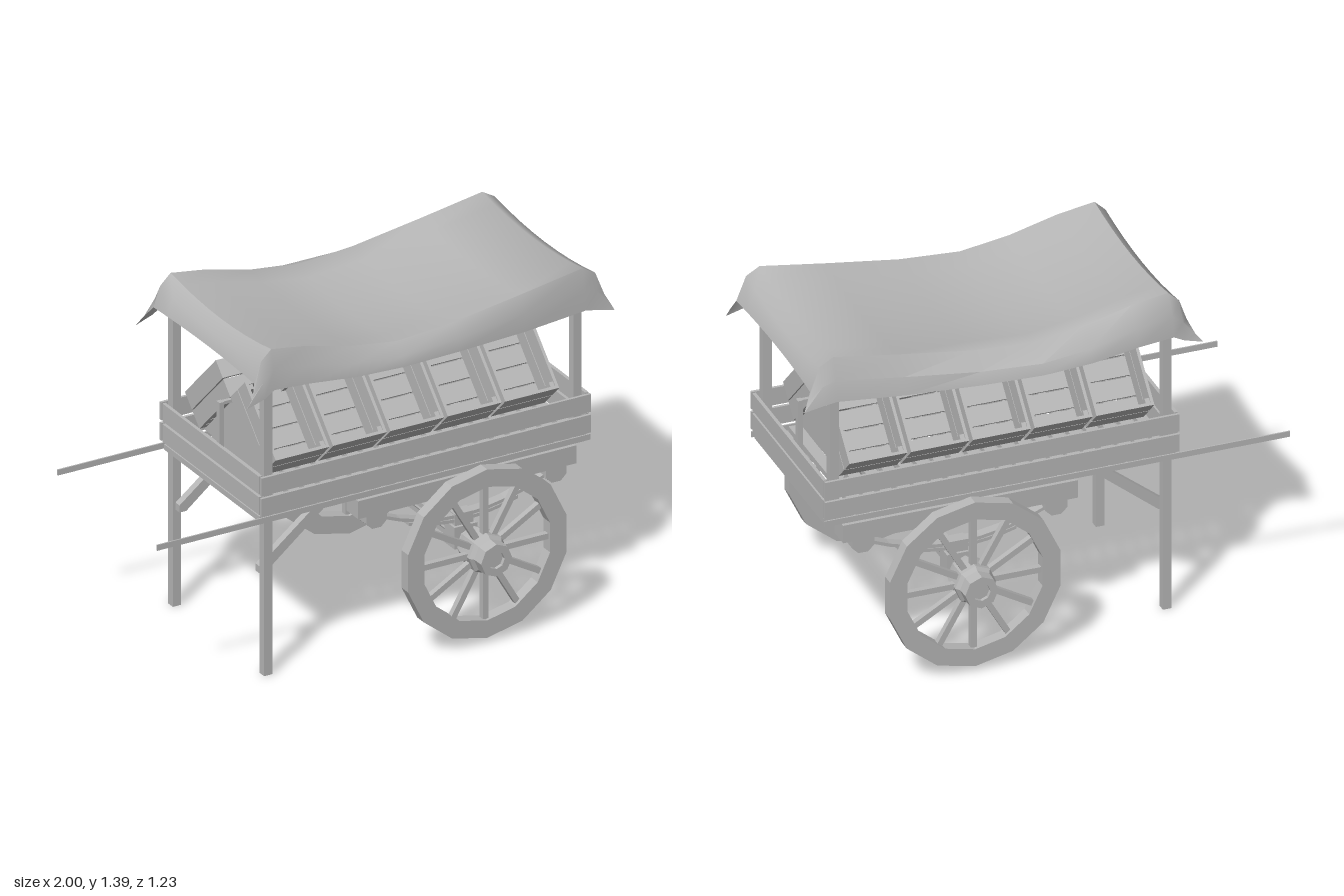
import * as THREE from 'three';
import { toCreasedNormals } from 'three/addons/utils/BufferGeometryUtils.js';

const grey = new THREE.MeshStandardMaterial({ color: 0xb6b6b6, side: THREE.DoubleSide });
grey.name = 'plain grey';

function add(parent, name, geo, x = 0, y = 0, z = 0) {
  const m = new THREE.Mesh(geo, grey);
  m.name = name;
  m.position.set(x, y, z);
  parent.add(m);
  return m;
}

// box given by its min and max on each axis
function box(parent, name, x0, x1, y0, y1, z0, z1) {
  return add(parent, name, new THREE.BoxGeometry(x1 - x0, y1 - y0, z1 - z0),
    (x0 + x1) / 2, (y0 + y1) / 2, (z0 + z1) / 2);
}

// outline in x/y, extruded along z and centred on z = 0
function plate(points, depth) {
  const shape = new THREE.Shape(points.map(p => new THREE.Vector2(p[0], p[1])));
  return new THREE.ExtrudeGeometry(shape, { depth, bevelEnabled: false }).translate(0, 0, -depth / 2);
}

function lathe(points, sides) {
  const g = new THREE.LatheGeometry(points.map(p => new THREE.Vector2(p[0], p[1])), sides);
  return toCreasedNormals(g.rotateX(Math.PI / 2), 0.3);
}

// wheel centred on its hub, outer face towards +z
function makeWheel() {
  const wheel = new THREE.Group();
  wheel.name = 'wheel';
  add(wheel, 'rim', lathe([[0.283, -0.025], [0.357, -0.025], [0.357, 0.025], [0.283, 0.025], [0.283, -0.025]], 14));
  add(wheel, 'hub', lathe([[0, -0.1], [0.055, -0.1], [0.055, -0.075], [0.075, -0.075], [0.083, -0.04],
    [0.083, 0.03], [0.07, 0.045], [0.068, 0.095], [0.036, 0.095], [0.036, 0.08], [0, 0.08]], 8));
  const spokes = 12;
  for (let i = 0; i < spokes; i++) {
    const a = (i / spokes) * Math.PI * 2;
    const s = add(wheel, 'spoke', new THREE.BoxGeometry(0.24, 0.024, 0.024),
      Math.cos(a) * 0.18, Math.sin(a) * 0.18, 0);
    s.rotation.z = a;
  }
  return wheel;
}

// open crate: y is its depth, z its length down the slope
function makeCrate() {
  const crate = new THREE.Group();
  crate.name = 'crate';
  const w = 0.1125, len = 0.33, t = 0.012;
  for (let i = 0; i < 2; i++) {
    const y0 = i * 0.08, y1 = y0 + 0.075;
    box(crate, 'topWall', -w, w, y0, y1, 0, t);
    box(crate, 'bottomWall', -w, w, y0, y1, len - t, len);
    for (const s of [-1, 1]) box(crate, 'sideWall', s * w - t / 2, s * w + t / 2, y0, y1, 0, len);
  }
  for (let i = 0; i < 4; i++) box(crate, 'floorSlat', -w, w, 0.002, t, i * 0.0825 + 0.003, i * 0.0825 + 0.079);
  for (const s of [-1, 1]) for (const z of [0.022, len - 0.022])
    box(crate, 'cornerPost', s * 0.098 - 0.01, s * 0.098 + 0.01, 0, 0.15, z - 0.01, z + 0.01);
  return crate;
}

// cloth built as a grid: columns along x, rows across z
function makeCanopy() {
  // x, top height, hem height, front hem z, back hem z
  const cols = [
    [-0.575, 1.25, 1.175, 0.41, -0.43],
    [-0.545, 1.345, 1.2, 0.41, -0.435],
    [-0.50, 1.388, 1.225, 0.405, -0.44],
    [-0.35, 1.365, 1.22, 0.415, -0.455],
    [-0.15, 1.315, 1.205, 0.43, -0.48],
    [0.05, 1.286, 1.2, 0.437, -0.49],
    [0.30, 1.303, 1.2, 0.428, -0.475],
    [0.60, 1.348, 1.203, 0.412, -0.445],
    [0.87, 1.392, 1.22, 0.40, -0.425],
    [0.925, 1.36, 1.21, 0.40, -0.42],
    [0.965, 1.25, 1.19, 0.40, -0.41],
  ];
  const pos = [], index = [], top = 8, rows = top + 5;
  cols.forEach(([x, y, hem, zf, zb], c) => {
    const end = c === 0 ? -1 : c === cols.length - 1 ? 1 : 0;
    const mid = (y + hem) / 2;
    pos.push(x + end * 0.035 - (end < 0 ? 0.015 : 0), hem, zb);
    pos.push(x + end * 0.02, mid, zb * 0.97);
    for (let i = 0; i <= top; i++) {
      const s = (i / top) * 2 - 1;
      const sag = 0.032 * (1 - s * s);
      pos.push(x - end * 0.012 * (1 - s * s), y - (end ? -0.01 : sag), s * 0.38);
    }
    pos.push(x + end * 0.02, mid, zf * 0.985);
    pos.push(x + end * 0.035 - (end < 0 ? 0.015 : 0), hem, zf);
  });
  for (let c = 0; c < cols.length - 1; c++) for (let r = 0; r < rows - 1; r++) {
    const a = c * rows + r, b = a + rows;
    index.push(a, a + 1, b, b, a + 1, b + 1);
  }
  const g = new THREE.BufferGeometry();
  g.setAttribute('position', new THREE.Float32BufferAttribute(pos, 3));
  g.setIndex(index);
  return toCreasedNormals(g, 0.8);
}

export function createModel() {
  const cart = new THREE.Group();
  cart.name = 'marketCart';

  // bed: cross slats and plank sides
  for (let i = 0; i < 21; i++) {
    const x = -0.54 + i * 0.0695;
    box(cart, 'floorSlat', x, x + 0.048, 0.657, 0.68, -0.36, 0.36);
  }
  for (const [y0, y1] of [[0.69, 0.765], [0.777, 0.852]]) {
    for (const s of [-1, 1]) box(cart, 'sidePlank', -0.545, 0.905, y0, y1, s * 0.379 - 0.006, s * 0.379 + 0.006);
    for (const x of [-0.538, 0.898]) box(cart, 'endPlank', x - 0.007, x + 0.007, y0, y1, -0.365, 0.365);
  }

  const spring = (half, drop, y) => {
    const p = [], n = 8, line = (k, dy) => {
      const u = (k / n) * 2 - 1;
      return [u * half, y + drop * u * u + dy];
    };
    for (let k = 0; k <= n; k++) p.push(line(k, 0));
    for (let k = n; k >= 0; k--) p.push(line(k, 0.014));
    return plate(p, 0.042);
  };

  for (const s of [-1, 1]) {
    const z = s * 0.345;
    // handles, posts and legs
    box(cart, 'handle', -1, 0.905, 0.656, 0.68, s * 0.375 - 0.003, s * 0.375 + 0.003);
    box(cart, 'legPost', -0.521, -0.485, 0, 1.35, z - 0.018, z + 0.018);
    box(cart, 'rearPost', 0.84, 0.876, 0.66, 1.35, z - 0.018, z + 0.018);
    add(cart, 'legBrace', plate([[-0.515, 0.415], [-0.485, 0.415], [-0.19, 0.655], [-0.25, 0.655], [-0.515, 0.445]], 0.03), 0, 0, s * 0.302);
    // undercarriage
    box(cart, 'bolster', -0.125, 0.835, 0.58, 0.656, s * 0.35 - 0.044, s * 0.35 + 0.044);
    for (const x of [-0.04, 0.75])
      add(cart, 'springHanger', plate([[-0.045, 0.58], [-0.045, 0.545], [-0.02, 0.52], [0.02, 0.52], [0.045, 0.545], [0.045, 0.58]], 0.075), x, 0, s * 0.35);
    add(cart, 'longSpring', spring(0.37, 0.085, 0.46), 0.355, 0, z);
    add(cart, 'shortSpring', spring(0.24, 0.036, 0.444), 0.355, 0, z);
    box(cart, 'springClamp', 0.315, 0.395, 0.43, 0.48, z - 0.026, z + 0.026);
    box(cart, 'axleBlock', 0.305, 0.405, 0.34, 0.432, z - 0.038, z + 0.038);
    // wheels
    const wheel = makeWheel();
    wheel.position.set(0.355, 0.38, s * 0.52);
    if (s < 0) wheel.rotation.y = Math.PI;
    cart.add(wheel);
  }
  box(cart, 'axleBeam', 0.328, 0.382, 0.352, 0.408, -0.34, 0.34);
  add(cart, 'axleShaft', lathe([[0, -0.45], [0.03, -0.45], [0.03, 0.45], [0, 0.45]], 8), 0.355, 0.38, 0);

  // two sloping rows of crates, back to back
  for (const turn of [0, Math.PI]) {
    const row = new THREE.Group();
    row.name = 'crateRow';
    row.position.set(0.165, 1.013, 0);
    row.rotation.y = turn;
    for (let i = 0; i < 5; i++) {
      const crate = makeCrate();
      crate.position.x = (i - 2) * 0.2525;
      crate.rotation.x = Math.PI / 4;
      row.add(crate);
    }
    cart.add(row);
  }
  // gables and ridge rail under the crates
  for (let i = 0; i < 5; i++) for (const dx of [-0.1, 0.1]) {
    const gable = add(cart, 'crateGable', plate([[-0.22, 0.78], [0.22, 0.78], [0, 1.0]], 0.012), 0.165 + (i - 2) * 0.2525 + dx, 0, 0);
    gable.rotation.y = Math.PI / 2;
  }
  box(cart, 'ridgeRail', -0.5, 0.858, 0.993, 1.006, -0.008, 0.008);
  for (const x of [-0.503, 0.858]) box(cart, 'ridgeStud', x - 0.01, x + 0.01, 0.68, 1.006, -0.012, 0.012);

  add(cart, 'canopy', makeCanopy());
  return cart;
}
